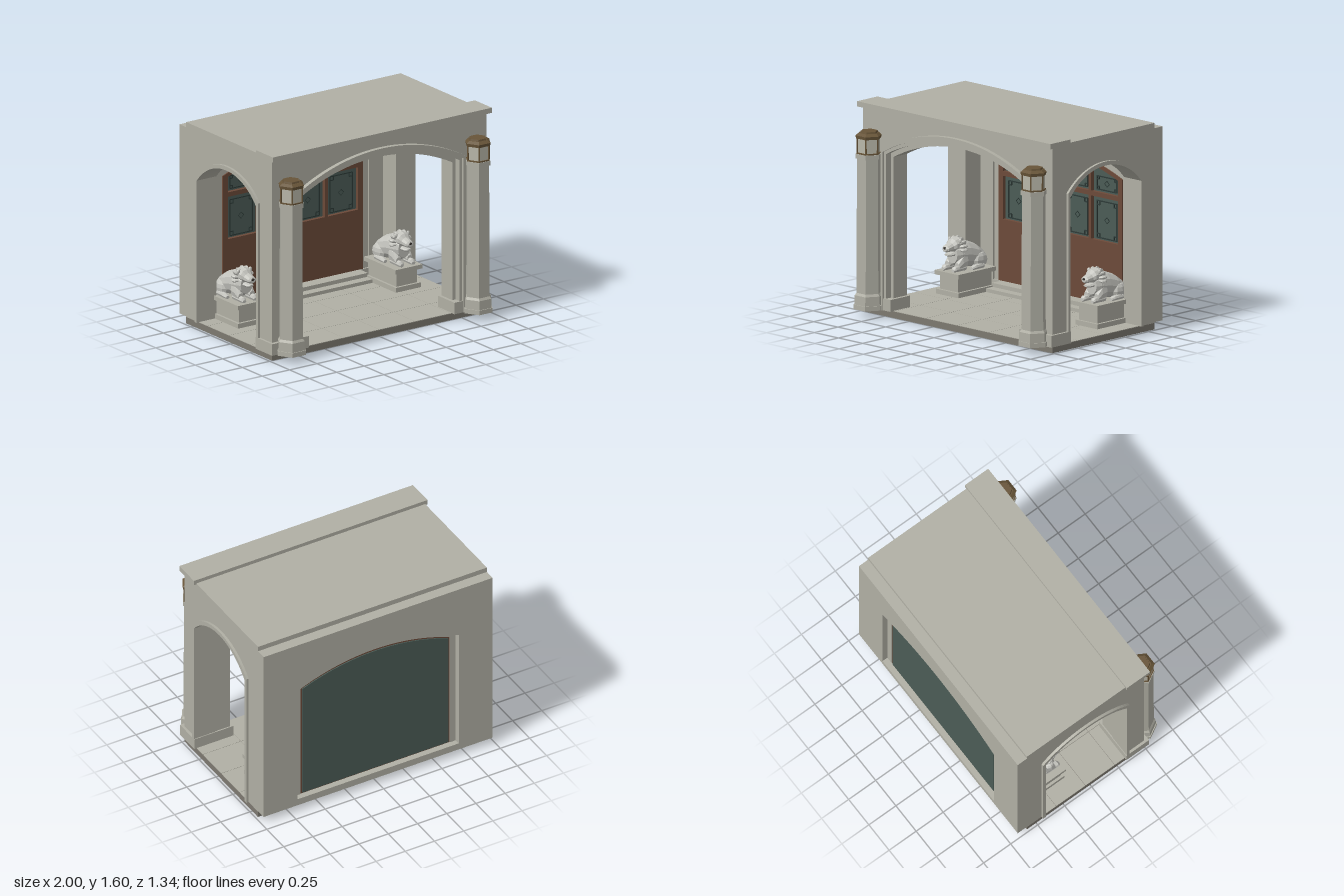
import * as THREE from 'three';

const mat = (name, color) => Object.assign(new THREE.MeshStandardMaterial({ color }), { name });
const M = {
  wall: mat('stone wall', 0xb0afa4),
  slab: mat('dark stone', 0x7d7970),
  wood: mat('brown wood', 0x6c4a39),
  glass: mat('green glass', 0x4b5c56),
  lattice: mat('dark lattice', 0x2d3a37),
  statue: mat('pale statue stone', 0xc4c4be),
  bronze: mat('lantern bronze', 0x675438),
  pane: mat('lantern pane', 0xbab8aa),
  dark: mat('dark metal', 0x2e2a27),
};
const V = (x, y) => new THREE.Vector2(x, y);

function add(parent, name, geo, material, x = 0, y = 0, z = 0) {
  const m = new THREE.Mesh(geo, material);
  m.name = name;
  m.position.set(x, y, z);
  parent.add(m);
  return m;
}
// box given by its limits on each axis
const box = (p, name, material, x0, x1, y0, y1, z0, z1) =>
  add(p, name, new THREE.BoxGeometry(x1 - x0, y1 - y0, z1 - z0), material, (x0 + x1) / 2, (y0 + y1) / 2, (z0 + z1) / 2);

// outline of a segmental arch, left foot to right foot
function arch(cx, hw, y0, spring, top) {
  const h = top - spring, r = (hw * hw + h * h) / (2 * h), cy = top - r;
  const a = Math.atan2(spring - cy, hw), pts = [V(cx - hw, y0)];
  for (let i = 0; i <= 24; i++) {
    const t = Math.PI - a + (2 * a - Math.PI) * i / 24;
    pts.push(V(cx + r * Math.cos(t), cy + r * Math.sin(t)));
  }
  return [...pts, V(cx + hw, y0)];
}
const extrude = (pts, depth, holes = []) => {
  const s = new THREE.Shape(pts);
  s.holes = holes.map(h => new THREE.Path(h));
  return new THREE.ExtrudeGeometry(s, { depth, bevelEnabled: false });
};
// band between two arches, and a wall with an arch cut up from its foot
const band = (outer, inner, depth) => extrude([...outer, ...inner.slice().reverse()], depth);
const archWall = (x0, x1, y0, y1, opening, depth) =>
  extrude([V(x0, y0), ...opening, V(x1, y0), V(x1, y1), V(x0, y1)], depth);

const hex = (r0, r1, h) => new THREE.CylinderGeometry(r1, r0, h, 6).rotateY(Math.PI / 6).toNonIndexed();
const flat = g => { const n = g.index ? g.toNonIndexed() : g; n.computeVertexNormals(); return n; };

// faceted tube along z; sections run front to back as [z, y, rx, ry]
function loft(sections, sides = 10) {
  const n = sections.length - 1, g = new THREE.CylinderGeometry(1, 1, 1, sides, n), p = g.attributes.position;
  for (let i = 0; i < p.count; i++) {
    const [z, y, rx, ry] = sections[Math.round((0.5 - p.getY(i)) * n)];
    p.setXYZ(i, p.getX(i) * rx, y - p.getZ(i) * ry, z);
  }
  return flat(g);
}
const blob = (rx, ry, rz) => flat(new THREE.SphereGeometry(1, 8, 6).scale(rx, ry, rz));

function makeColumn() {
  const g = new THREE.Group();
  const ring = (name, m, r0, r1, y0, y1) => flat(add(g, name, hex(r0, r1, y1 - y0), m, 0, (y0 + y1) / 2).geometry);
  ring('columnFoot', M.wall, 0.12, 0.12, 0.055, 0.09);
  ring('columnBase', M.wall, 0.112, 0.11, 0.09, 0.16);
  ring('columnBaseSlope', M.wall, 0.11, 0.097, 0.16, 0.178);
  ring('columnShaft', M.wall, 0.097, 0.092, 0.178, 1.2);
  ring('columnCap', M.wall, 0.102, 0.102, 1.2, 1.235);
  ring('lanternSill', M.bronze, 0.097, 0.097, 1.235, 1.245);
  ring('lanternPanes', M.pane, 0.088, 0.09, 1.245, 1.355);
  for (let i = 0; i < 6; i++) {
    const a = i * Math.PI / 3;
    add(g, 'lanternPost', new THREE.BoxGeometry(0.01, 0.11, 0.01), M.bronze,
      0.09 * Math.cos(a), 1.3, 0.09 * Math.sin(a)).rotation.y = -a;
  }
  ring('lanternEave', M.bronze, 0.1, 0.104, 1.352, 1.375);
  ring('lanternRoof', M.bronze, 0.104, 0.078, 1.375, 1.392);
  ring('lanternTop', M.bronze, 0.07, 0.066, 1.392, 1.405);
  return g;
}

function makeLion() {
  const g = new THREE.Group(), S = M.statue;
  add(g, 'lionBody', loft([[-0.18, 0.36, 0.055, 0.07], [-0.22, 0.36, 0.075, 0.095], [-0.31, 0.35, 0.08, 0.1],
    [-0.4, 0.325, 0.085, 0.09], [-0.47, 0.3, 0.07, 0.065], [-0.5, 0.29, 0.03, 0.03]], 12), S);
  add(g, 'lionHead', loft([[-0.1, 0.41, 0.022, 0.015], [-0.112, 0.412, 0.036, 0.026], [-0.16, 0.42, 0.042, 0.035],
    [-0.18, 0.43, 0.058, 0.05], [-0.23, 0.435, 0.064, 0.055], [-0.28, 0.42, 0.05, 0.05]]), S);
  add(g, 'lionJaw', loft([[-0.118, 0.366, 0.02, 0.008], [-0.14, 0.364, 0.032, 0.014], [-0.21, 0.37, 0.045, 0.025]], 8), S);
  add(g, 'lionNose', blob(0.014, 0.009, 0.008), M.dark, 0, 0.42, -0.102);
  // mane locks fan around the head
  for (let i = 0; i < 11; i++) {
    const a = -0.7 + (Math.PI + 1.4) * i / 10;
    add(g, 'maneLock', blob(0.038, 0.016, 0.036), S, 0.062 * Math.cos(a), 0.41 + 0.05 * Math.sin(a), -0.235).rotation.z = a;
  }
  for (const s of [-1, 1]) {
    add(g, 'lionEar', blob(0.014, 0.018, 0.012), S, s * 0.055, 0.465, -0.21);
    add(g, 'lionEye', blob(0.007, 0.007, 0.006), M.dark, s * 0.034, 0.445, -0.174);
    add(g, 'frontLeg', loft([[-0.18, 0.27, 0.026, 0.034], [-0.22, 0.3, 0.032, 0.055], [-0.27, 0.31, 0.03, 0.06]], 8), S, s * 0.052);
    add(g, 'frontPaw', loft([[-0.135, 0.25, 0.016, 0.012], [-0.15, 0.257, 0.026, 0.023], [-0.26, 0.26, 0.026, 0.026]], 8), S, s * 0.052);
    add(g, 'haunch', blob(0.035, 0.06, 0.07), S, s * 0.068, 0.295, -0.41);
    add(g, 'hindPaw', loft([[-0.3, 0.245, 0.016, 0.012], [-0.33, 0.252, 0.024, 0.02], [-0.42, 0.255, 0.022, 0.022]], 8), S, s * 0.085);
  }
  return g;
}

function makeDoors() {
  const g = new THREE.Group(), outline = arch(0, 0.64, 0.11, 1.08, 1.21);
  const cols = [-0.457, -0.153, 0.153, 0.457], hw = 0.138, holes = [];
  const r = 1.61, topAt = x => 1.18 - r + Math.sqrt(r * r - x * x);
  for (const c of cols) {
    holes.push([V(c - hw, 0.58), V(c + hw, 0.58), V(c + hw, 0.91), V(c - hw, 0.91)]);
    const light = [V(c - hw, 0.945), V(c + hw, 0.945)];
    for (let i = 0; i <= 8; i++) { const x = c + hw - 2 * hw * i / 8; light.push(V(x, topAt(x))); }
    holes.push(light);
    // lattice: an outline, stepped corners and a diamond in each pane
    for (const [y, w, h] of [[0.735, 0.103, 0.14], [1.012, 0.103, 0.05]]) {
      const bar = (x0, x1, y0, y1) => box(g, 'lattice', M.lattice, x0, x1, y0, y1, -0.62, -0.612);
      const t = 0.004, k = h > 0.1 ? 0.03 : 0.022;
      for (const s of [-1, 1]) {
        bar(c - w, c + w, y + s * h - t, y + s * h + t);
        bar(c + s * w - t, c + s * w + t, y - h, y + h);
        for (const q of [-1, 1]) {
          const cx = c + s * (w - k), cy = y + q * (h - k);
          bar(Math.min(cx, cx + s * k), Math.max(cx, cx + s * k), cy - t, cy + t);
          bar(cx - t, cx + t, Math.min(cy, cy + q * k), Math.max(cy, cy + q * k));
        }
      }
      add(g, 'latticeDiamond', new THREE.TorusGeometry(0.024, 0.004, 4, 4), M.lattice, c, y, -0.616);
    }
  }
  add(g, 'doorFrame', extrude(outline, 0.03, holes), M.wood, 0, 0, -0.62);
  add(g, 'glassSheet', extrude(arch(0, 0.625, 0.12, 1.075, 1.195), 0.008), M.glass, 0, 0, -0.628);
  for (const s of [-1, 1]) box(g, 'doorHandle', M.dark, s * 0.043 - 0.004, s * 0.043 + 0.004, 0.45, 0.54, -0.59, -0.575);
  return g;
}

export function createModel() {
  const root = new THREE.Group();
  root.name = 'porch';
  const W = M.wall;

  // floor slab with tiles
  box(root, 'floorSlab', M.slab, -0.98, 0.98, 0, 0.049, -0.585, 0.5);
  const nx = 6, nz = 4, tx = 1.96 / nx, tz = 1.085 / nz;
  for (let i = 0; i < nx; i++) for (let j = 0; j < nz; j++)
    box(root, 'floorTile', W, -0.98 + i * tx + 0.0015, -0.98 + (i + 1) * tx - 0.0015, 0.046, 0.053,
      -0.585 + j * tz + 0.0015, -0.585 + (j + 1) * tz - 0.0015);

  // roof and cornice
  box(root, 'roof', W, -0.82, 0.82, 1.4, 1.57, -0.585, 0.33);
  box(root, 'cornice', W, -1, 1, 1.56, 1.6, 0.325, 0.54);

  // front wall with stepped arch mouldings
  const a0 = arch(0, 0.765, 0.05, 1.27, 1.475), a1 = arch(0, 0.742, 0.05, 1.255, 1.45);
  const a2 = arch(0, 0.72, 0.05, 1.24, 1.42), a3 = arch(0, 0.69, 0.05, 1.215, 1.39);
  add(root, 'frontWall', archWall(-0.82, 0.82, 0.05, 1.57, a2, 0.17), W, 0, 0, 0.33);
  add(root, 'outerMoulding', band(a0, a1, 0.035), W, 0, 0, 0.5);
  add(root, 'innerMoulding', band(a1, a2, 0.02), W, 0, 0, 0.5);
  add(root, 'archLining', band(a2, a3, 0.14), W, 0, 0, 0.33);

  // side walls with arches, pier bases, columns, pedestals and lions
  const so = arch(-0.049, 0.4, 0.05, 1.19, 1.37), si = arch(-0.049, 0.375, 0.05, 1.16, 1.34);
  for (const s of [-1, 1]) {
    const wall = add(root, 'sideWall', archWall(-0.585, 0.5, 0.05, 1.57, si, 0.16), W, s > 0 ? 0.98 : -0.82);
    const trim = add(root, 'sideArchTrim', band(so, si, 0.02), W, s > 0 ? 1 : -0.98);
    wall.rotation.y = trim.rotation.y = -Math.PI / 2;
    const side = (name, m, x0, x1, ...r) => box(root, name, m, Math.min(s * x0, s * x1), Math.max(s * x0, s * x1), ...r);
    side('pierBase', W, 0.665, 1, 0.05, 0.14, 0.32, 0.53);
    side('pedestalFoot', W, 0.605, 0.835, 0.05, 0.09, -0.51, -0.128);
    side('pedestalBlock', W, 0.625, 0.815, 0.09, 0.2, -0.5, -0.148);
    side('pedestalCap', W, 0.597, 0.843, 0.2, 0.232, -0.52, -0.12);
    const column = makeColumn();
    column.name = 'lanternColumn';
    column.position.set(s * 0.853, 0, 0.565);
    const lion = makeLion();
    lion.name = 'lionStatue';
    lion.position.x = s * 0.72;
    root.add(column, lion);
  }

  // back wall, recessed door surround and steps
  const b0 = arch(0, 0.69, 0.11, 1.11, 1.26), b1 = arch(0, 0.64, 0.11, 1.08, 1.21);
  add(root, 'backWall', extrude([V(-0.98, 0.055), V(0.98, 0.055), V(0.98, 1.53), V(-0.98, 1.53)], 0.085, [b0]), W, 0, 0, -0.67);
  add(root, 'doorSurround', band(b0, b1, 0.025), W, 0, 0, -0.625);
  box(root, 'lowerStep', W, -0.62, 0.62, 0.05, 0.08, -0.586, -0.42);
  box(root, 'upperStep', W, -0.61, 0.61, 0.08, 0.11, -0.586, -0.49);

  const doors = makeDoors();
  doors.name = 'doors';
  root.add(doors);

  // ceiling lamp
  add(root, 'ceilingLamp', flat(hex(0.04, 0.046, 0.045)), M.statue, 0, 1.378, -0.05);
  return root;
}
